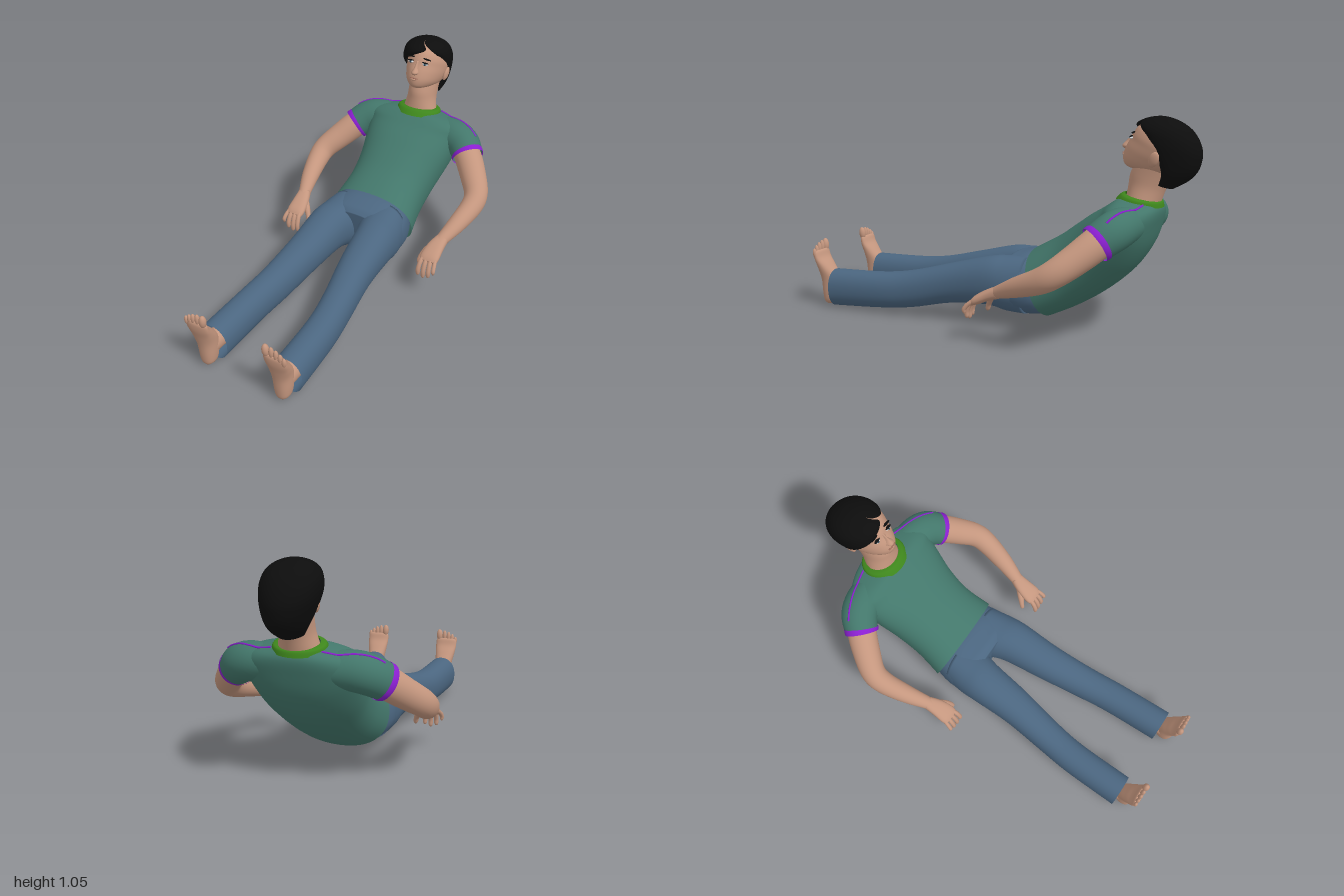
import * as THREE from 'three';

const mat = (name, color, side = THREE.FrontSide) => {
  const m = new THREE.MeshStandardMaterial({ color, side });
  m.name = name;
  return m;
};
const V3 = (x, y, z) => new THREE.Vector3(x, y, z);

// Catmull-Rom interpolation of one number
function spline(p, q, r, s, t) {
  const cubic = 3 * (q - r) + s - p;
  const square = 2 * p - 5 * q + 4 * r - s;
  return q + 0.5 * t * (r - p + t * (square + t * cubic));
}

// Smooth a list of rows, number by number
function smooth(rows, k) {
  const out = [], last = rows.length - 1;
  for (let i = 0; i < last; i++) {
    const [p, q, r, s] = [rows[Math.max(i - 1, 0)], rows[i], rows[i + 1], rows[Math.min(i + 2, last)]];
    for (let j = 0; j < k; j++) out.push(q.map((v, n) => spline(p[n], v, r[n], s[n], j / k)));
  }
  out.push(rows[last]);
  return out;
}

// Skin over rings { c, a, b, from, to }: a and b are the half axes, from/to an optional arc
function skin(rings, { n = 32, e = 2, open = [false, false], partial = false } = {}) {
  const pos = [], idx = [], cols = partial ? n + 1 : n;
  const pw = v => Math.sign(v) * Math.pow(Math.abs(v), 2 / e);
  for (const r of rings) for (let j = 0; j < cols; j++) {
    const t = r.from + (r.to - r.from) * j / n;
    const gap = Math.min(1, Math.abs(r.from + 2 * Math.PI - r.to));
    const edge = partial ? 1 - 0.1 * gap * Math.pow(2 * j / n - 1, 16) : 1;
    const p = r.c.clone().addScaledVector(r.a, pw(Math.cos(t)) * edge).addScaledVector(r.b, pw(Math.sin(t)) * edge);
    pos.push(p.x, p.y, p.z);
  }
  const m = rings.length, mid = m >> 1;
  const dir = rings[Math.min(mid + 1, m - 1)].c.clone().sub(rings[mid - 1].c);
  const flip = rings[mid].a.clone().cross(rings[mid].b).dot(dir) < 0;
  const tri = (a, b, c) => flip ? idx.push(a, c, b) : idx.push(a, b, c);
  for (let i = 0; i < m - 1; i++) for (let j = 0; j < n; j++) {
    const j2 = (j + 1) % cols, a = i * cols, b = a + cols;
    tri(a + j, a + j2, b + j2);
    tri(a + j, b + j2, b + j);
  }
  [0, m - 1].forEach((i, end) => {
    if (open[end]) return;
    const k = pos.length / 3, a = i * cols;
    pos.push(rings[i].c.x, rings[i].c.y, rings[i].c.z);
    for (let j = 0; j < n; j++) {
      const j2 = (j + 1) % cols;
      if (end) tri(k, a + j, a + j2);
      else tri(k, a + j2, a + j);
    }
  });
  const g = new THREE.BufferGeometry();
  g.setAttribute('position', new THREE.Float32BufferAttribute(pos, 3));
  g.setIndex(idx);
  g.computeVertexNormals();
  return g;
}

// Rows: [centre x, half width, front z, front y, back z, back y, left gap, right gap]
const loft = (rows, opt = {}) => skin(smooth(rows, 5).map(([x, w, zf, yf, zb, yb, l = 0, r = 0]) => ({
  c: V3(x, (yf + yb) / 2, (zf + zb) / 2), a: V3(0, (yf - yb) / 2, (zf - zb) / 2), b: V3(w, 0, 0),
  from: l * Math.PI / 180, to: 2 * Math.PI - r * Math.PI / 180,
})), opt);

// Rows: [x, y, z, radius across, radius through], rings square to the path
function sweep(rows, opt = {}) {
  const s = smooth(rows, 5), at = i => V3(...s[Math.max(0, Math.min(s.length - 1, i))].slice(0, 3));
  return skin(s.map((r, i) => {
    const t = at(i + 1).sub(at(i - 1)).normalize();
    const u = V3(1, 0, 0).addScaledVector(t, -t.x).normalize();
    return { c: at(i), a: u.clone().multiplyScalar(r[3]), b: t.cross(u).multiplyScalar(r[4]), from: 0, to: 2 * Math.PI };
  }), opt);
}

export function createModel() {
  const root = new THREE.Group();
  root.name = 'recliningMan';
  const D = THREE.DoubleSide;
  const skinM = mat('skin', 0xc4967e), hairM = mat('hair', 0x0d0d0d, D), shirtM = mat('shirt', 0x43776b, D);
  const jeansM = mat('denim', 0x4b6680, D), trimM = mat('purpleTrim', 0x8a1fd0, D), collarM = mat('greenCollar', 0x3e861c, D);
  const whiteM = mat('eyeWhite', 0xd8dde0), irisM = mat('iris', 0x2c4a5c), lipM = mat('lips', 0x9a6a5a);
  const add = (name, g, m) => {
    const o = new THREE.Mesh(g, m);
    o.name = name;
    root.add(o);
    return o;
  };
  const ball = (name, m, p, s, rx = 0, rz = 0) => {
    const o = add(name, new THREE.SphereGeometry(1, 16, 12), m);
    o.position.set(...p);
    o.scale.set(...s);
    o.rotation.set(rx, 0, rz);
  };

  // Shirt body and collar
  const shirt = [add('shirtBody', loft([
    [-.017, .235, -.2, .39, -.3, .06], [-.014, .217, -.33, .465, -.43, .125], [-.01, .225, -.42, .53, -.57, .215],
    [-.005, .25, -.5, .588, -.7, .33], [0, .268, -.565, .628, -.78, .45], [0, .275, -.6, .652, -.815, .56],
    [0, .215, -.627, .671, -.825, .62], [0, .11, -.645, .682, -.814, .655],
  ], { n: 48, e: 2.3, open: [true, true] }), shirtM)];
  add('collar', loft([[0, .126, -.613, .672, -.834, .638], [0, .117, -.636, .695, -.828, .662], [0, .092, -.655, .7, -.815, .668]],
    { n: 40, open: [true, true] }), collarM);

  // Seat of the jeans
  add('jeansSeat', loft([
    [-.018, .205, -.25, .375, -.33, .1], [-.018, .226, -.19, .377, -.27, .068], [-.02, .237, -.13, .367, -.18, .063],
    [-.02, .225, -.09, .358, -.12, .075], [-.02, .15, -.06, .335, -.08, .11],
  ], { n: 40, e: 2.5 }), jeansM);

  for (const s of [1, -1]) {
    const side = s > 0 ? 'left' : 'right';
    const mx = rows => rows.map(r => [r[0] * s, ...r.slice(1)]);
    const leg = rows => rows.map(r => [-.02 + r[0] * s, ...r.slice(1)]);

    // Sleeve with purple edge
    shirt.push(add(side + 'Sleeve', sweep(mx([
      [.13, .575, -.72, .08, .08], [.235, .57, -.703, .09, .09], [.3, .55, -.678, .09, .09], [.348, .513, -.635, .082, .084],
    ]), { open: [false, true] }), shirtM));
    add(side + 'SleeveTrim', sweep(mx([[.338, .521, -.644, .086, .088], [.346, .515, -.637, .086, .088], [.353, .509, -.63, .084, .086]]),
      { open: [true, true] }), trimM);

    // Arm
    add(side + 'Arm', sweep(mx([
      [.28, .56, -.685, .066, .066], [.348, .513, -.635, .073, .075], [.42, .445, -.56, .069, .07], [.472, .39, -.49, .062, .064],
      [.479, .35, -.42, .057, .059], [.456, .304, -.3, .047, .047], [.425, .26, -.19, .033, .03], [.422, .25, -.17, .034, .028],
    ])), skinM);

    // Hand with four fingers and a thumb
    add(side + 'Palm', sweep(mx([
      [.427, .264, -.2, .032, .028], [.415, .24, -.14, .044, .026], [.411, .212, -.085, .05, .022], [.411, .195, -.06, .044, .014],
    ]), { e: 2.4 }), skinM);
    [[.453, .148, .0105], [.428, .12, .012], [.402, .11, .012], [.376, .118, .012]].forEach(([x, y, r], i) => {
      const spread = (x - .41) * .1;
      add(side + 'Finger' + i, sweep(mx([
        [x - 2 * spread, .215, -.085, r, r], [x, .193, -.052, r, r], [x + spread, (y + .193) / 2, -.034, r, r],
        [x + spread, y + .01, -.033, r * .85, r * .85], [x + spread, y, -.034, r * .4, r * .4],
      ]), { n: 10 }), skinM);
    });
    add(side + 'Thumb', sweep(mx([
      [.4, .243, -.16, .018, .018], [.37, .215, -.13, .017, .017], [.35, .18, -.11, .013, .013],
      [.343, .152, -.1, .011, .011], [.342, .142, -.098, .005, .005],
    ]), { n: 12 }), skinM);

    // Trouser leg
    add(side + 'TrouserLeg', loft(leg([
      [.12, .108, -.2, .36, -.2, .075], [.124, .12, -.1, .356, -.1, .082], [.139, .109, 0, .348, 0, .103],
      [.152, .094, .2, .297, .2, .09], [.18, .083, .42, .24, .42, .045], [.2, .08, .6, .215, .6, .025], [.21, .08, .89, .203, .885, .006],
    ]), { n: 36, e: 2.2, open: [false, true] }), jeansM);

    // Ankle, foot and toes
    add(side + 'Ankle', loft(leg([[.208, .055, .7, .17, .7, .05], [.21, .046, .85, .165, .85, .055], [.212, .042, .93, .165, .93, .05]])), skinM);
    add(side + 'Foot', loft(leg([
      [.212, .014, .948, .008, .905, .012], [.212, .034, .961, .028, .885, .03], [.212, .042, .967, .07, .872, .08],
      [.212, .046, .972, .14, .875, .165], [.214, .055, .982, .2, .915, .225], [.215, .061, .993, .25, .948, .265],
      [.215, .06, .995, .285, .962, .296], [.215, .05, .99, .3, .97, .305],
    ]), { e: 2.3 }), skinM);
    [[-.043, .319, .018, .035], [-.013, .317, .0125, .033], [.011, .311, .012, .031], [.033, .301, .0115, .029], [.052, .289, .011, .026]]
      .forEach(([x, y, r, h], i) =>
        ball(side + 'Toe' + i, skinM, [-.02 + s * (.215 + x), y, .983], [r, h, r], .08, -s * x));

    // Ear, eye and brow
    ball(side + 'Ear', skinM, [s * .111, .868, -.812], [.013, .038, .023], -.4, -s * .15);
    ball(side + 'Eye', whiteM, [s * .042, .957, -.686], [.017, .006, .009]);
    ball(side + 'Iris', irisM, [s * .042, .957, -.68], [.006, .006, .005]);
    ball(side + 'EyeLid', hairM, [s * .043, .964, -.686], [.02, .0025, .008], 0, -s * .1);
    ball(side + 'Brow', hairM, [s * .047, .982, -.697], [.025, .0035, .007], 0, -s * .1);
  }

  // Shoulder seams laid onto the shirt
  const ray = new THREE.Raycaster();
  for (const s of [1, -1]) {
    const pts = [];
    for (let i = 0; i <= 12; i++) {
      const t = i / 12, x = s * (.115 + .25 * t), z = -.77 + .035 * t + .05 * t * t;
      ray.set(V3(x, 2, z), V3(0, -1, 0));
      const hit = ray.intersectObjects(shirt)[0];
      if (hit) pts.push(hit.point);
    }
    add('shoulderSeam', new THREE.TubeGeometry(new THREE.CatmullRomCurve3(pts), 36, .005, 6), trimM);
  }

  // Neck and head
  add('neck', loft([[0, .095, -.66, .68, -.815, .64], [0, .079, -.668, .74, -.838, .71],
    [0, .077, -.675, .79, -.865, .77], [0, .08, -.7, .85, -.89, .83]]), skinM);
  add('head', loft([
    [0, .025, -.652, .825, -.71, .808], [0, .056, -.639, .845, -.8, .79], [0, .083, -.639, .88, -.87, .785],
    [0, .1, -.654, .92, -.93, .8], [0, .108, -.675, .955, -.96, .83], [0, .11, -.69, .985, -.97, .87],
    [0, .1, -.715, 1.015, -.965, .92], [0, .075, -.76, 1.033, -.94, .97], [0, .03, -.82, 1.035, -.9, 1],
  ], { n: 40 }), skinM);
  add('nose', loft([
    [0, .008, -.676, .97, -.71, .96], [0, .01, -.653, .942, -.7, .93], [0, .02, -.63, .918, -.68, .914], [0, .015, -.638, .904, -.68, .905],
  ], { n: 16 }), skinM);
  ball('mouth', lipM, [0, .885, -.641], [.027, .003, .006]);
  ball('lowerLip', skinM, [0, .877, -.641], [.02, .006, .007]);

  // Hair swept over the right side of the forehead
  add('hair', loft([
    [0, .078, -.7, .79, -.878, .727, 115, 115], [-.002, .102, -.67, .86, -.945, .765, 106, 98], [-.006, .116, -.652, .918, -.985, .81, 94, 76],
    [-.011, .126, -.661, .962, -1, .86, 80, 46], [-.013, .128, -.677, .997, -1, .9, 62, 10], [-.013, .121, -.7, 1.027, -.985, .945, 36, -20],
    [-.011, .096, -.745, 1.047, -.955, .99, 10, -8], [-.01, .05, -.8, 1.056, -.91, 1.025, 0, 0], [-.01, .012, -.845, 1.052, -.87, 1.042, 0, 0],
  ], { n: 48, partial: true, open: [true, false] }), hairM);

  return root;
}
